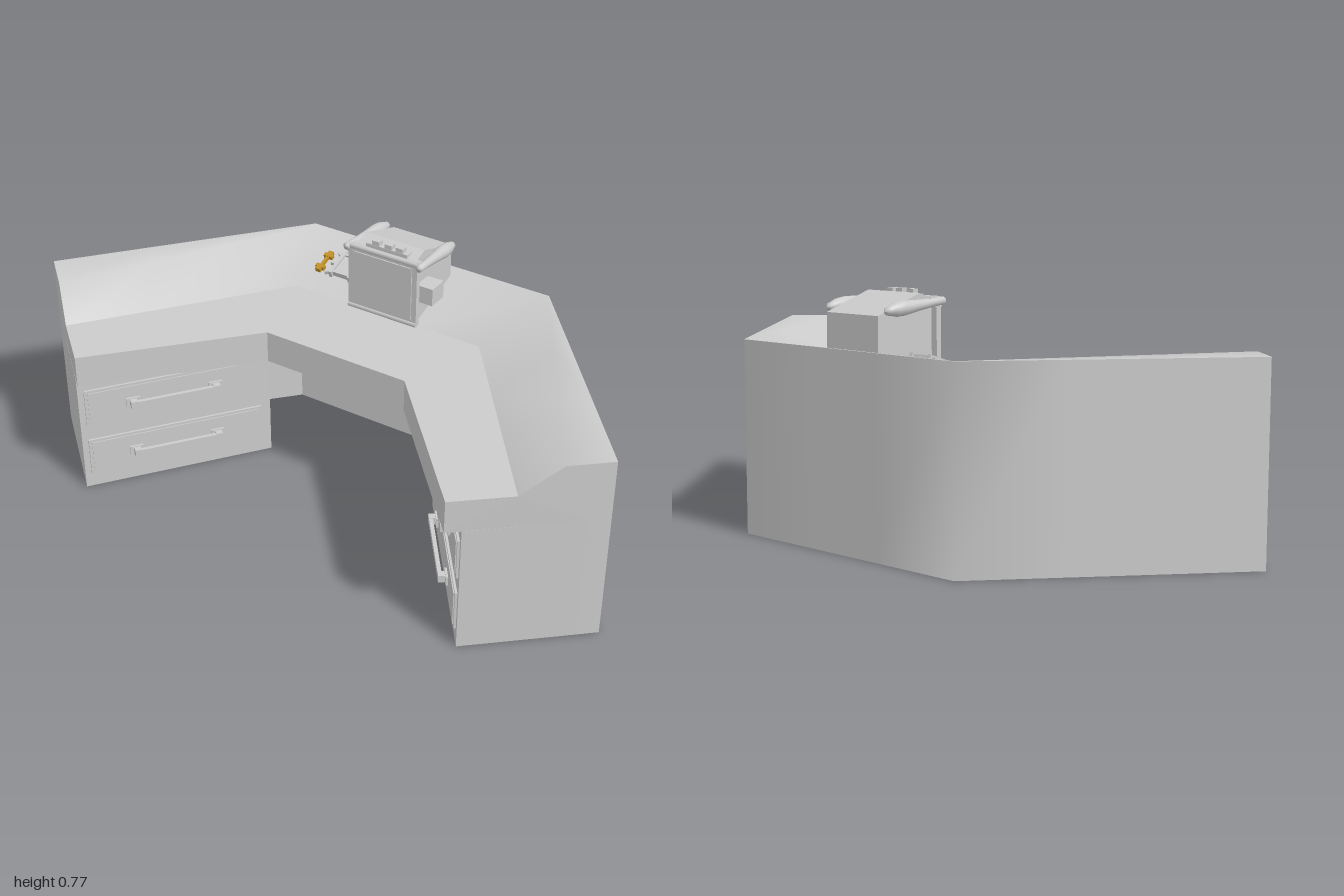
import * as THREE from 'three';

const material = new THREE.MeshStandardMaterial({ color: 0xcccccc, side: THREE.DoubleSide });
const gold = new THREE.MeshStandardMaterial({ color: 0xc0902a });

function add(parent, name, geometry, x = 0, y = 0, z = 0, mat = material) {
  const mesh = new THREE.Mesh(geometry, mat);
  mesh.name = name;
  mesh.position.set(x, y, z);
  parent.add(mesh);
  return mesh;
}

const box = (w, h, d) => new THREE.BoxGeometry(w, h, d);

// Surface through a row of open cross-sections, with optional end caps
function loft(sections, cap = []) {
  const n = sections[0].length;
  const index = [];
  for (let k = 0; k < sections.length - 1; k++) {
    for (let i = 0; i < n - 1; i++) {
      const a = k * n + i, b = a + n;
      index.push(a, b, b + 1, a, b + 1, a + 1);
    }
  }
  const last = (sections.length - 1) * n;
  for (const [a, b, c] of cap) index.push(a, b, c, last + a, last + c, last + b);
  const geometry = new THREE.BufferGeometry();
  geometry.setAttribute('position', new THREE.Float32BufferAttribute(sections.flat(2), 3));
  geometry.setIndex(index);
  geometry.computeVertexNormals();
  return geometry;
}

function flat(geometry) {
  const result = geometry.toNonIndexed();
  result.computeVertexNormals();
  return result;
}

// Plan outline in x, z raised from y = 0
function prism(points, height) {
  const shape = new THREE.Shape(points.map(([x, z]) => new THREE.Vector2(x, -z)));
  return new THREE.ExtrudeGeometry(shape, { depth: height, bevelEnabled: false }).rotateX(-Math.PI / 2);
}

// Side outline in z, y spread across a width in x
function sideProfile(points, width) {
  const shape = new THREE.Shape(points.map(([z, y]) => new THREE.Vector2(-z, y)));
  return new THREE.ExtrudeGeometry(shape, { depth: width, bevelEnabled: false })
    .translate(0, 0, -width / 2).rotateY(Math.PI / 2);
}

function buildCounter(root) {
  // Section from outer foot over the sloping shelf to the worktop and back panel
  const section = (s, [outer, mid, low, inner, panel]) => [
    [outer, 0], [outer, 0.605], [mid, 0.605], [low, 0.52],
    [inner, 0.52], [inner, 0.415], [panel, 0.415], [panel, 0], [outer, 0],
  ].map(([[x, z], y]) => [s * x, y, z]);
  const end = [[1, 0.185], [0.893, 0.28], [0.8, 0.365], [0.65, 0.495], [0.95, 0.23]];
  const corner = [[0.44, -0.497], [0.437, -0.49], [0.34, -0.238], [0.25, 0.052], [0.41, -0.36]];
  const main = [section(1, end), section(1, corner), section(-1, corner), section(-1, end)];

  // Extra stations keep the soft shading close to the two corners
  const sections = main.flatMap((from, k) => (k === 3 ? [from] : [0, 0.35, 0.65].map((t) =>
    from.map((p, i) => p.map((v, c) => v + (main[k + 1][i][c] - v) * t)))));
  const part = (a, b) => sections.map((s) => s.slice(a, b));
  const counter = new THREE.Group();
  counter.name = 'counter';
  root.add(counter);
  add(counter, 'outerWall', loft(part(0, 2)));
  add(counter, 'slopingShelf', loft(part(1, 4)));
  add(counter, 'worktopAndPanel', flat(loft(part(3, 9))));

  // The worktop, apron and end faces close the two ends
  const caps = [[0, 1, 6], [0, 6, 7], [1, 2, 6], [2, 3, 6], [3, 4, 5], [3, 5, 6]];
  const ends = flat(loft([main[0], main[3]], caps));
  const start = 2 * 3 * (main[0].length - 1);
  const faces = new THREE.BufferGeometry();
  for (const key of ['position', 'normal']) {
    faces.setAttribute(key, new THREE.BufferAttribute(ends.attributes[key].array.slice(start * 3), 3));
  }
  add(counter, 'endFaces', faces);
}

function buildDrawer(parent, y) {
  const drawer = new THREE.Group();
  drawer.name = 'drawer';
  drawer.position.y = y;
  parent.add(drawer);
  add(drawer, 'drawerFront', box(0.573, 0.13, 0.014));
  add(drawer, 'drawerPanel', box(0.553, 0.112, 0.02));
  add(drawer, 'handleBar', box(0.27, 0.02, 0.012), 0, 0, 0.032);
  for (const s of [-1, 1]) {
    add(drawer, 'handleMount', box(0.045, 0.03, 0.01), s * 0.135, 0, 0.012);
    add(drawer, 'handlePost', box(0.022, 0.024, 0.028), s * 0.135, 0, 0.024);
  }
}

function buildCabinet(root, s) {
  const cabinet = new THREE.Group();
  cabinet.name = s > 0 ? 'leftCabinet' : 'rightCabinet';
  root.add(cabinet);
  const plan = [[0.687, 0.463], [0.315, -0.04], [0.517, -0.245], [0.95, 0.23]];
  add(cabinet, 'cabinetBody', prism(plan.map(([x, z]) => [s * x, z]), 0.415));
  const face = new THREE.Group();
  face.name = 'drawers';
  face.position.set(s * 0.505, 0, 0.217);
  face.rotation.y = -s * 0.934;
  cabinet.add(face);
  for (const y of [0.115, 0.3]) buildDrawer(face, y);
}

function buildMachine() {
  const machine = new THREE.Group();
  machine.name = 'counterMachine';
  const profile = [[-0.23, 0.525], [-0.23, 0.74], [-0.29, 0.762], [-0.458, 0.705], [-0.458, 0.53]];
  add(machine, 'machineBody', sideProfile(profile, 0.215));
  add(machine, 'frontFrame', box(0.25, 0.218, 0.018), -0.003, 0.634, -0.231);
  add(machine, 'frontPanel', box(0.215, 0.18, 0.01), -0.003, 0.637, -0.223);
  add(machine, 'sideBox', box(0.06, 0.058, 0.068), 0.135, 0.631, -0.28);
  for (const y of [0.53, 0.742]) {
    const rail = add(machine, 'frontRail', new THREE.CylinderGeometry(0.009, 0.009, 0.25, 8), -0.003, y, -0.226);
    rail.rotation.z = Math.PI / 2;
  }

  // Swelling side arms, thick toward the back
  const arm = [[0, 0], [0.012, 0.004], [0.013, 0.05], [0.017, 0.11], [0.022, 0.16],
    [0.021, 0.19], [0.014, 0.215], [0.012, 0.226], [0, 0.234]]
    .map(([r, t]) => new THREE.Vector2(r, t));
  for (const s of [-1, 1]) {
    const pivot = new THREE.Group();
    pivot.name = 'sideArm';
    pivot.position.set(s * 0.132, 0.738, -0.212);
    pivot.rotation.set(-0.09, s * 0.05, 0);
    machine.add(pivot);
    add(pivot, 'armTube', new THREE.LatheGeometry(arm, 12)).rotation.x = -Math.PI / 2;
    add(machine, 'armBracket', box(0.03, 0.025, 0.03), s * 0.115, 0.733, -0.235);
  }

  // Keys on top of the front edge
  for (const x of [-0.04, 0.005, 0.045]) {
    add(machine, 'key', box(0.026, 0.02, 0.022), x, 0.76, -0.252);
  }
  add(machine, 'keyBar', box(0.15, 0.012, 0.03), 0, 0.75, -0.255);
  return machine;
}

function buildSmallItems() {
  const items = new THREE.Group();
  items.name = 'smallItems';
  items.position.set(-0.215, 0.572, -0.352);
  items.rotation.x = 0.316;

  // Grey gadget with a rimmed body and short legs
  const gadget = new THREE.Group();
  gadget.name = 'gadget';
  items.add(gadget);
  add(gadget, 'gadgetBody', box(0.07, 0.014, 0.07));
  for (const s of [-1, 1]) {
    add(gadget, 'gadgetRim', box(0.012, 0.022, 0.104), s * 0.036, 0.004, 0);
    add(gadget, 'gadgetRim', box(0.07, 0.018, 0.01), 0, 0.004, s * 0.04);
    for (const z of [-0.04, 0, 0.04]) {
      add(gadget, 'gadgetLeg', box(0.026, 0.012, 0.011), s * 0.05, 0, z).rotation.y = -s * z * 12;
    }
  }

  // Gold pin with a knob at each end
  const pin = new THREE.Group();
  pin.name = 'goldPin';
  pin.position.set(-0.092, -0.006, 0);
  items.add(pin);
  add(pin, 'pinBar', box(0.01, 0.01, 0.08), 0, 0, 0, gold);
  for (const s of [-1, 1]) {
    add(pin, 'pinKnob', box(0.032, 0.014, 0.014), 0, 0, s * 0.026, gold);
    add(pin, 'pinTip', box(0.018, 0.014, 0.012), 0, 0, s * 0.038, gold);
  }
  return items;
}

export function createModel() {
  const root = new THREE.Group();
  root.name = 'receptionDesk';
  buildCounter(root);
  for (const s of [1, -1]) buildCabinet(root, s);
  root.add(buildMachine(), buildSmallItems());
  return root;
}
